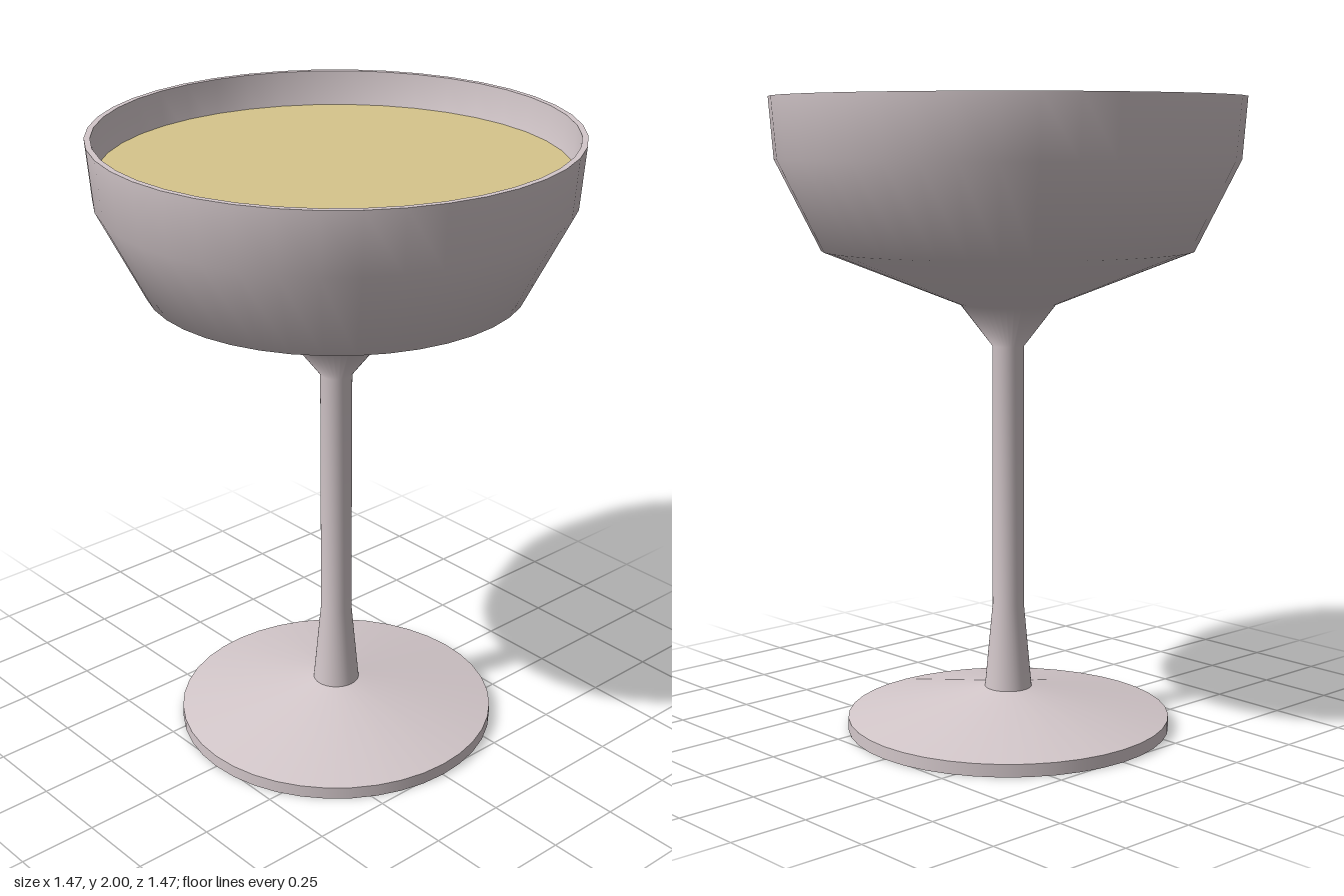
import * as THREE from 'three';

const SEGMENTS = 40;

export function createModel() {
  const glass = new THREE.MeshStandardMaterial({ color: 0xd3c7ca });
  glass.name = 'rosy grey glass';
  const wine = new THREE.MeshStandardMaterial({ color: 0xd6c58b });
  wine.name = 'pale gold drink';

  const group = new THREE.Group();
  group.name = 'coupeGlass';

  // Each turned part is its own lathe, so edges between parts stay sharp
  const turn = (name, material, profile) => {
    const points = profile.map(([r, y]) => new THREE.Vector2(r, y));
    const mesh = new THREE.Mesh(new THREE.LatheGeometry(points, SEGMENTS), material);
    mesh.name = name;
    group.add(mesh);
  };

  // Foot
  turn('footUnderside', glass, [[0, 0], [0.515, 0]]);
  turn('footEdge', glass, [[0.515, 0], [0.515, 0.04]]);
  turn('footTop', glass, [[0.515, 0.04], [0.075, 0.13]]);

  // Stem flowing smoothly into the outside of the bowl
  turn('stemAndBowl', glass, [
    [0.075, 0.13], [0.05, 0.4], [0.05, 1.23], [0.15, 1.36],
    [0.58, 1.53], [0.72, 1.81], [0.735, 2],
  ]);

  // Rim and inside of the bowl
  turn('rim', glass, [[0.735, 2], [0.717, 2]]);
  turn('bowlInside', glass, [
    [0.717, 2], [0.702, 1.81], [0.565, 1.545], [0.14, 1.38], [0, 1.37],
  ]);

  // Drink surface
  turn('drink', wine, [[0.708, 1.89], [0, 1.89]]);

  return group;
}
